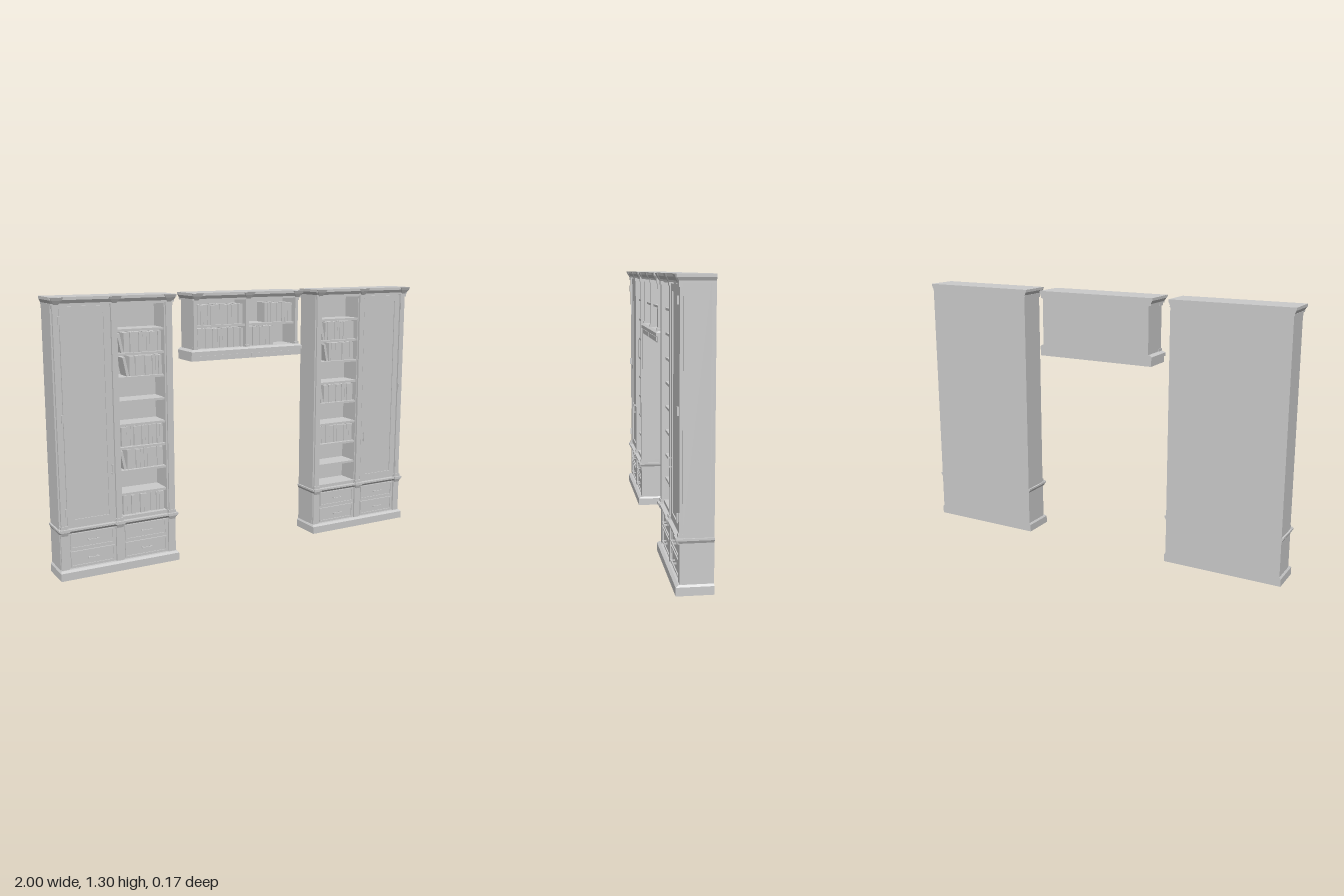
import * as THREE from 'three';

const material = new THREE.MeshStandardMaterial({ color: 0xcccccc, flatShading: true });
const BACK = -0.085;

// Box given by its extents; dx and dz draw in the sides and front of its bottom (or its top)
function block(parent, name, x, y, z, { dx = 0, dz = 0, narrowTop = false } = {}) {
  const w = Math.abs(x[1] - x[0]), h = y[1] - y[0], d = z[1] - z[0];
  const geo = new THREE.BoxGeometry(w, h, d);
  const p = geo.attributes.position;
  for (let i = 0; i < p.count; i++) {
    if ((p.getY(i) > 0) !== narrowTop) continue;
    p.setX(i, p.getX(i) - Math.sign(p.getX(i)) * dx);
    if (p.getZ(i) > 0) p.setZ(i, p.getZ(i) - dz);
  }
  geo.computeVertexNormals();
  const mesh = new THREE.Mesh(geo, material);
  mesh.name = name;
  mesh.position.set((x[0] + x[1]) / 2, (y[0] + y[1]) / 2, (z[0] + z[1]) / 2);
  parent.add(mesh);
  return mesh;
}

function random(seed) {
  return () => (seed = (seed * 16807) % 2147483647) / 2147483647;
}

// Row of books standing on a shelf, the first one optionally leaning
function bookRow(parent, x0, x1, y, height, seed, lean = false) {
  const row = new THREE.Group();
  row.name = 'bookRow';
  const rnd = random(seed * 7919 + 13);
  let x = x0;
  if (lean) {
    const tilt = 0.2, h = height * 0.95, w = 0.013;
    const book = block(row, 'leaningBook', [0, w], [0, h], [-0.05, 0.025]);
    book.rotation.z = tilt;
    book.position.set(x + (h * Math.sin(tilt) + w * Math.cos(tilt)) / 2,
      y + (h * Math.cos(tilt) + w * Math.sin(tilt)) / 2, -0.012);
    x += 0.035;
  }
  while (x < x1 - 0.008) {
    const w = Math.min(0.013 + rnd() * 0.016, x1 - x);
    block(row, 'book', [x, x + w - 0.0015], [y, y + height * (0.95 + rnd() * 0.05)],
      [-0.055, 0.02 + rnd() * 0.008]);
    x += w;
  }
  parent.add(row);
}

// Bracket under the crown
function corbel(parent, x) {
  block(parent, 'corbel', [x - 0.03, x + 0.03], [1.285, 1.298], [0.05, 0.083], { dx: 0.006, dz: 0.005 });
  block(parent, 'corbel', [x - 0.022, x + 0.022], [1.266, 1.285], [0.05, 0.077], { dx: 0.012, dz: 0.01 });
}

// Stepped crown reaching from one outer edge to the other
function crown(parent, x0, x1) {
  block(parent, 'crownTop', [x0, x1], [1.287, 1.3], [BACK, 0.076]);
  block(parent, 'crownCove', [x0 + 0.002, x1 - 0.002], [1.272, 1.287], [BACK, 0.074], { dx: 0.007, dz: 0.009 });
  block(parent, 'crownBead', [x0 + 0.008, x1 - 0.008], [1.264, 1.272], [BACK, 0.065]);
}

// Bar pull on two posts
function pull(parent, x, y, vertical) {
  for (const s of [-1, 1]) {
    const px = vertical ? x : x + s * 0.021, py = vertical ? y + s * 0.02 : y;
    block(parent, 'pullPost', [px - 0.003, px + 0.003], [py - 0.003, py + 0.003], [0.045, 0.066]);
  }
  const hw = vertical ? 0.003 : 0.027, hh = vertical ? 0.026 : 0.003;
  block(parent, 'pullBar', [x - hw, x + hw], [y - hh, y + hh], [0.064, 0.069]);
}

// Raised frame around a flat panel
function framedPanel(parent, name, x, y, back, front, border) {
  const [a, b] = x[0] < x[1] ? x : [x[1], x[0]];
  block(parent, name + 'Panel', [a + border, b - border], [y[0] + border, y[1] - border], [back, front - 0.005]);
  for (const e of [[a, a + border], [b - border, b]]) block(parent, name + 'Stile', e, y, [back, front]);
  for (const e of [[y[0], y[0] + border], [y[1] - border, y[1]]])
    block(parent, name + 'Rail', [a + border, b - border], e, [back, front]);
}

// Tall cabinet; s = 1 puts it on +x, and offsets run from its centre outwards
function tallCabinet(s, rows) {
  const g = new THREE.Group();
  g.name = s > 0 ? 'leftCabinet' : 'rightCabinet';
  const c = 0.6965 * s;
  const X = (a, b) => [c + s * a, c + s * b].sort((m, n) => m - n);

  // Carcass
  block(g, 'lowerBody', X(-0.292, 0.292), [0.03, 0.257], [BACK, 0.048]);
  block(g, 'backPanel', X(-0.292, 0.292), [0.257, 1.27], [BACK, -0.065]);
  block(g, 'innerSide', X(-0.292, -0.25), [0.257, 1.27], [-0.065, 0.05]);
  block(g, 'closetBody', X(-0.018, 0.292), [0.257, 1.27], [-0.065, 0.046]);
  block(g, 'lintel', X(-0.25, -0.018), [1.258, 1.27], [-0.065, 0.05]);

  // Plinth, waist moulding and crown
  block(g, 'plinth', X(-0.299, 0.299), [0, 0.037], [BACK, 0.075]);
  block(g, 'plinthBevel', X(-0.299, 0.299), [0.037, 0.046], [BACK, 0.075], { dx: 0.006, dz: 0.012, narrowTop: true });
  block(g, 'waistMoulding', X(-0.3, 0.3), [0.232, 0.241], [BACK, 0.07]);
  block(g, 'waistCove', X(-0.299, 0.299), [0.22, 0.232], [BACK, 0.068], { dx: 0.006, dz: 0.01 });
  const outer = X(-0.303, 0.303);
  crown(g, outer[0], outer[1]);

  // Pilasters with their waist blocks and corbels
  for (const u of [-0.271, 0, 0.271]) {
    block(g, 'lowerPilaster', X(u - 0.018, u + 0.018), [0.046, 0.222], [0.03, 0.058]);
    block(g, 'upperPilaster', X(u - 0.014, u + 0.014), [0.241, 1.268], [0.03, 0.059]);
    block(g, 'pilasterFoot', X(u - 0.018, u + 0.018), [0.241, 0.257], [0.03, 0.064]);
    block(g, 'pilasterCap', X(u - 0.018, u + 0.018), [1.248, 1.266], [0.03, 0.064]);
    block(g, 'waistBlock', X(u - 0.023, u + 0.023), [0.23, 0.243], [0.03, 0.075]);
    block(g, 'waistBlock', X(u - 0.018, u + 0.018), [0.212, 0.23], [0.03, 0.071], { dx: 0.004, dz: 0.006 });
    corbel(g, c + s * u);
  }

  // Door with hinges and pull
  framedPanel(g, 'door', X(0.018, 0.253), [0.25, 1.258], 0.04, 0.055, 0.032);
  for (const y of [0.32, 0.757, 1.197])
    block(g, 'hinge', X(0.256, 0.265), [y - 0.018, y + 0.018], [0.05, 0.067]);
  pull(g, c + s * 0.03, 0.498, true);

  // Four drawers
  for (const u of [-0.135, 0.135]) for (const y of [0.09, 0.177]) {
    framedPanel(g, 'drawer', X(u - 0.108, u + 0.108), [y - 0.038, y + 0.038], 0.04, 0.055, 0.008);
    pull(g, c + s * u, y, false);
  }

  // Shelves and books
  const open = X(-0.25, -0.018);
  for (let i = 1; i <= 8; i++) {
    const y = 0.257 + 0.111 * i;
    block(g, 'shelf', open, [y - 0.011, y], [-0.065, 0.042]);
  }
  for (const [i, inset, lean] of rows)
    bookRow(g, open[0] + inset, open[1] - 0.004, 0.257 + 0.111 * i, 0.095, i + 10 + s, lean);
  return g;
}

// Wall cabinet bridging the gap
function bridgeCabinet() {
  const g = new THREE.Group();
  g.name = 'bridgeCabinet';
  block(g, 'backPanel', [-0.294, 0.294], [1.0, 1.27], [BACK, -0.065]);
  block(g, 'lintel', [-0.294, 0.294], [1.262, 1.272], [-0.065, 0.052]);

  // Base with a ledge and two shallow panels
  block(g, 'base', [-0.31, 0.31], [0.975, 1.004], [BACK, 0.06]);
  block(g, 'ledge', [-0.313, 0.313], [1.004, 1.021], [BACK, 0.068]);
  block(g, 'ledgeBevel', [-0.313, 0.313], [1.021, 1.03], [BACK, 0.068], { dx: 0.012, dz: 0.012, narrowTop: true });
  for (const s of [-1, 1])
    block(g, 'basePanel', [s * 0.15 - 0.13, s * 0.15 + 0.13], [0.98, 0.999], [0.05, 0.063]);

  for (const x of [-0.286, 0, 0.286]) {
    block(g, 'upright', [x - 0.008, x + 0.008], [1.03, 1.265], [-0.065, 0.055]);
    block(g, 'uprightFoot', [x - 0.011, x + 0.011], [1.03, 1.042], [0.03, 0.06]);
    block(g, 'uprightCap', [x - 0.011, x + 0.011], [1.25, 1.266], [0.03, 0.061]);
    corbel(g, x * 0.99);
  }
  block(g, 'shelf', [-0.286, 0.286], [1.132, 1.143], [-0.065, 0.042]);
  crown(g, -0.313, 0.313);

  bookRow(g, -0.276, -0.01, 1.143, 0.098, 3);
  bookRow(g, -0.276, -0.01, 1.03, 0.097, 4);
  bookRow(g, 0.118, 0.277, 1.143, 0.098, 5);
  bookRow(g, 0.01, 0.168, 1.03, 0.097, 6);
  return g;
}

export function createModel() {
  const model = new THREE.Group();
  model.name = 'bookcaseWall';
  // Book rows as [shelf number, gap at the start, first book leans]
  model.add(tallCabinet(-1, [[7, 0.006, true], [6, 0.03, true], [3, 0.016, false], [2, 0.006, true], [0, 0.016, false]]));
  model.add(tallCabinet(1, [[7, 0.006, true], [6, 0.03, true], [4, 0.004, true], [2, 0.008, false]]));
  model.add(bridgeCabinet());
  return model;
}
